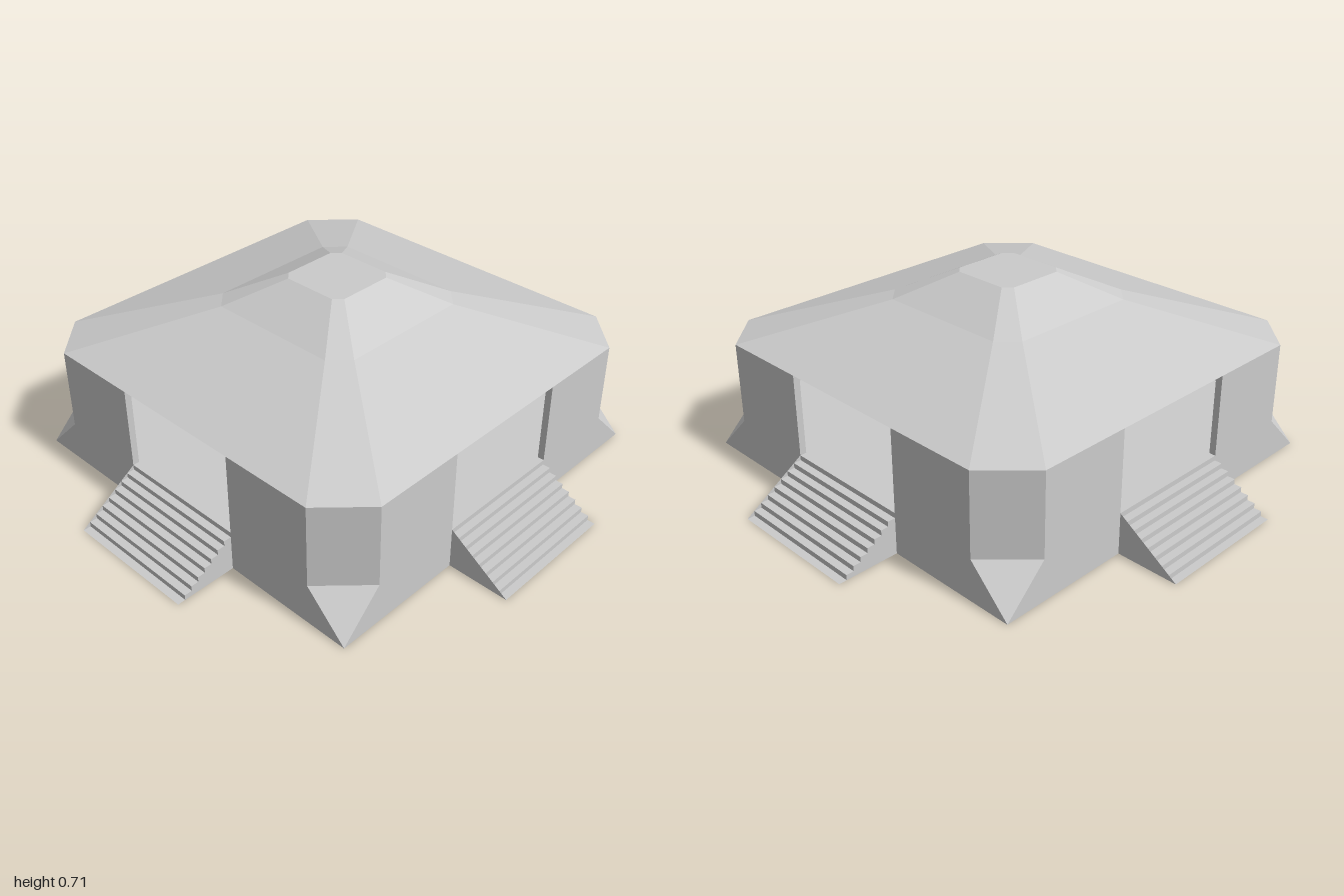
import * as THREE from 'three';
import { ConvexGeometry } from 'three/addons/geometries/ConvexGeometry.js';

const HALF = 0.767, CUT = 0.61;       // half width of the plan, start of the corner cut
const FLOOR = 0.155, EAVES = 0.465;   // floor and eaves heights
const DOOR = 0.257, WALL = 0.025;     // half width of a doorway, wall thickness
const STEPS = 8;

const material = new THREE.MeshStandardMaterial({
  color: 0xcccccc, flatShading: true, side: THREE.DoubleSide,
});

function part(name, geometry) {
  const mesh = new THREE.Mesh(geometry, material);
  mesh.name = name;
  return mesh;
}

// Square with cut corners at height y, counter-clockwise seen from above
function octagon(y, a, b) {
  return [[a, b], [a, -b], [b, -a], [-b, -a], [-a, -b], [-a, b], [-b, a], [b, a]]
    .map(([x, z]) => new THREE.Vector3(x, y, z));
}

// Sheet from quads a, b, c, d given counter-clockwise
function quadSheet(quads) {
  const points = quads.flatMap(([a, b, c, d]) => [a, b, c, a, c, d]);
  const geometry = new THREE.BufferGeometry().setFromPoints(points);
  geometry.computeVertexNormals();
  return geometry;
}

// Solid base: full square on the ground, cut corners at floor level
function base() {
  const ground = [[1, 1], [1, -1], [-1, -1], [-1, 1]]
    .map(([x, z]) => new THREE.Vector3(x * HALF, 0, z * HALF));
  return part('base', new ConvexGeometry([...ground, ...octagon(FLOOR, HALF, CUT)]));
}

// One corner wall running between two doorways around the cut corner
function cornerWall() {
  const inner = HALF - WALL, innerCut = CUT - WALL * 0.41;
  const shape = new THREE.Shape([
    [HALF, DOOR], [HALF, CUT], [CUT, HALF], [DOOR, HALF],
    [DOOR, inner], [innerCut, inner], [inner, innerCut], [inner, DOOR],
  ].map(([x, y]) => new THREE.Vector2(x, y)));
  const geometry = new THREE.ExtrudeGeometry(shape, { depth: EAVES - FLOOR, bevelEnabled: false });
  geometry.rotateX(-Math.PI / 2).translate(0, FLOOR, 0);
  return part('cornerWall', geometry);
}

// Hollow two-pitch roof with a flat top
function roof() {
  const rings = [octagon(EAVES, HALF, CUT), octagon(0.615, 0.325, 0.257), octagon(0.71, 0.137, 0.107)];
  const quads = [];
  for (let r = 0; r < 2; r++) {
    for (let i = 0; i < 8; i++) {
      const j = (i + 1) % 8;
      quads.push([rings[r][i], rings[r][j], rings[r + 1][j], rings[r + 1][i]]);
    }
  }
  const top = rings[2];
  quads.push([top[0], top[1], top[2], top[3]], [top[0], top[3], top[4], top[7]], [top[4], top[5], top[6], top[7]]);
  return part('roof', quadSheet(quads));
}

// Upright end panel of a stair, outline given as distance from centre and height
function endPanel(name, outline, x) {
  const geometry = new THREE.ShapeGeometry(new THREE.Shape(outline));
  geometry.rotateY(-Math.PI / 2).translate(x, 0, 0);
  return part(name, geometry);
}

// Stair on the +z side: stepped sheet, sloped cheek at one end, stepped panel at the other
function stair() {
  const group = new THREE.Group();
  group.name = 'stair';
  const run = (1 - HALF) / STEPS, rise = FLOOR / STEPS;
  const profile = [new THREE.Vector2(1, 0)];
  for (let i = 0; i < STEPS; i++) {
    const z = 1 - (i + 1) * run;
    profile.push(new THREE.Vector2(z, i * rise), new THREE.Vector2(z, (i + 1) * rise));
  }
  const at = (x, p) => new THREE.Vector3(x, p.y, p.x);
  const quads = profile.slice(1).map((p, i) =>
    [at(-DOOR, profile[i]), at(DOOR, profile[i]), at(DOOR, p), at(-DOOR, p)]);
  const foot = new THREE.Vector2(HALF, 0);
  group.add(
    part('steps', quadSheet(quads)),
    endPanel('slopedCheek', [foot, new THREE.Vector2(1, 0), new THREE.Vector2(HALF, FLOOR)], -DOOR),
    endPanel('steppedCheek', [foot, ...profile.slice(1, -1)], DOOR),
  );
  return group;
}

export function createModel() {
  const model = new THREE.Group();
  model.name = 'pavilion';
  model.add(base(), roof());
  // Four corners and four stairs, a quarter turn apart
  for (let k = 0; k < 4; k++) {
    for (const piece of [cornerWall(), stair()]) {
      piece.rotation.y = k * Math.PI / 2;
      model.add(piece);
    }
  }
  return model;
}
